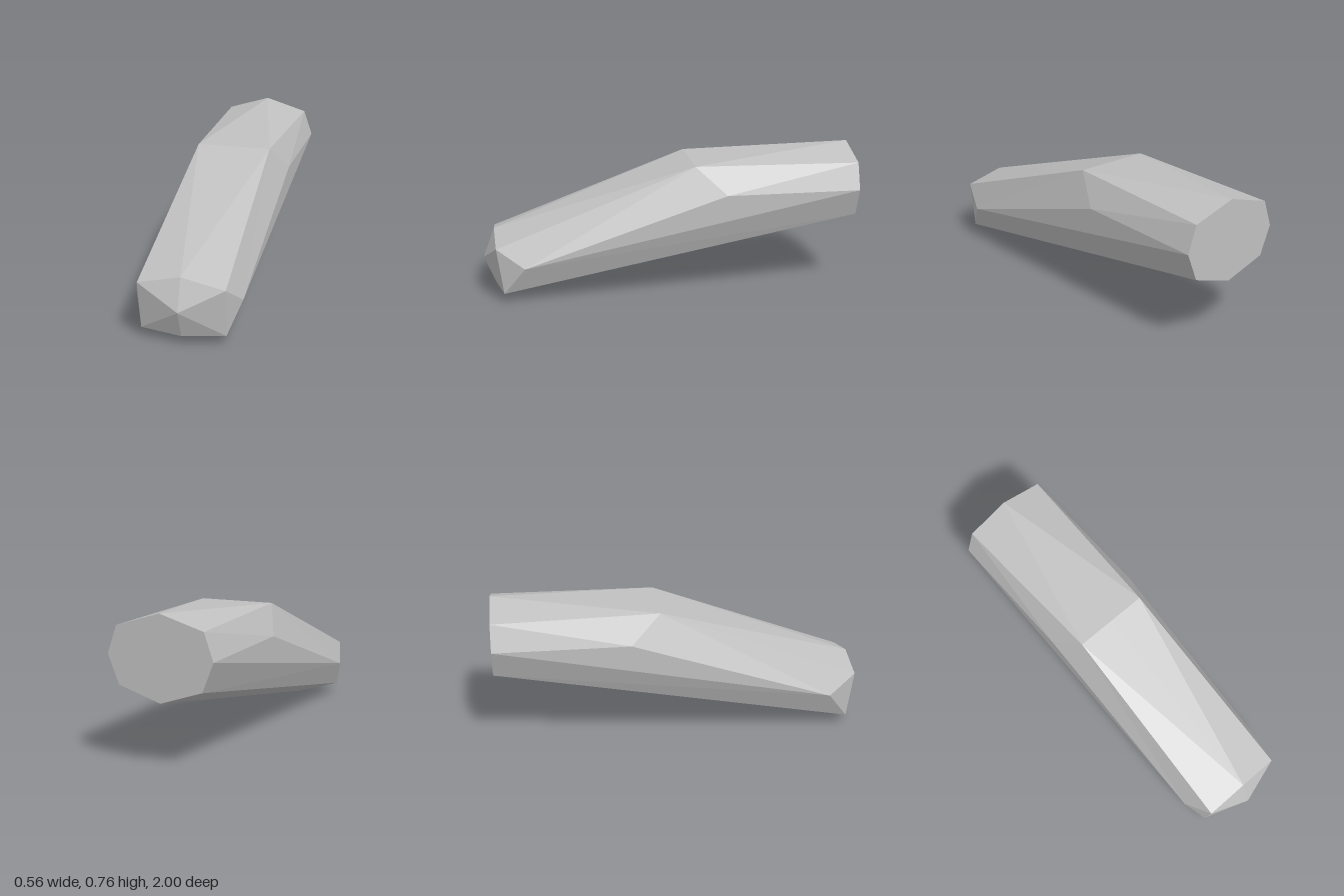
import * as THREE from 'three';

// Corners on the +x half: F = front, M = middle bend, B = back
const P = {
  nose: [0, 0.19, 1], chin: [0, 0.043, 0.94],
  crownF: [0, 0.35, 0.94], crownM: [0, 0.695, -0.12], crownB: [0, 0.76, -1],
  shoulderF: [0.22, 0.3, 0.935], shoulderM: [0.2, 0.695, -0.12], shoulderB: [0.23, 0.69, -1],
  sideF: [0.272, 0.2, 0.79], sideM: [0.278, 0.55, -0.28], sideB: [0.278, 0.55, -1],
  lowF: [0.215, 0.05, 0.9], lowB: [0.22, 0.402, -1],
  keelF: [0, 0, 0.8], keelB: [0, 0.33, -1],
};

// Facets of the +x half, counter-clockwise from outside
const shell = [
  // sloping top and rear top
  'shoulderF shoulderM crownF', 'crownF shoulderM crownM',
  'shoulderM crownB crownM', 'shoulderM shoulderB crownB',
  // flank
  'sideF shoulderM shoulderF', 'sideF sideM shoulderM',
  'sideM sideB shoulderB', 'sideM shoulderB shoulderM',
  'sideF sideB sideM', 'sideF lowB sideB', 'lowF lowB sideF', 'lowF sideF shoulderF',
  // underside
  'keelF keelB lowB', 'keelF lowB lowF', 'chin keelF lowF',
];
const noseFacets = ['nose shoulderF crownF', 'nose lowF shoulderF', 'nose chin lowF'];
const backFacets = ['keelB sideB lowB', 'keelB shoulderB sideB', 'keelB crownB shoulderB'];

// Builds the facets together with their mirror images
function facetMesh(name, facets, material) {
  const pos = [];
  for (const facet of facets) {
    const [a, b, c] = facet.split(' ').map((k) => P[k]);
    pos.push(...a, ...b, ...c);
    for (const [x, y, z] of [a, c, b]) pos.push(-x, y, z);
  }
  const geometry = new THREE.BufferGeometry();
  geometry.setAttribute('position', new THREE.Float32BufferAttribute(pos, 3));
  geometry.computeVertexNormals();
  const mesh = new THREE.Mesh(geometry, material);
  mesh.name = name;
  return mesh;
}

export function createModel() {
  const grey = new THREE.MeshStandardMaterial({ color: 0xc0c0c0 });
  grey.name = 'light grey';
  const group = new THREE.Group();
  group.name = 'facetedBlock';
  group.add(
    facetMesh('body', shell, grey),
    facetMesh('noseTip', noseFacets, grey),
    facetMesh('backCap', backFacets, grey),
  );
  return group;
}
